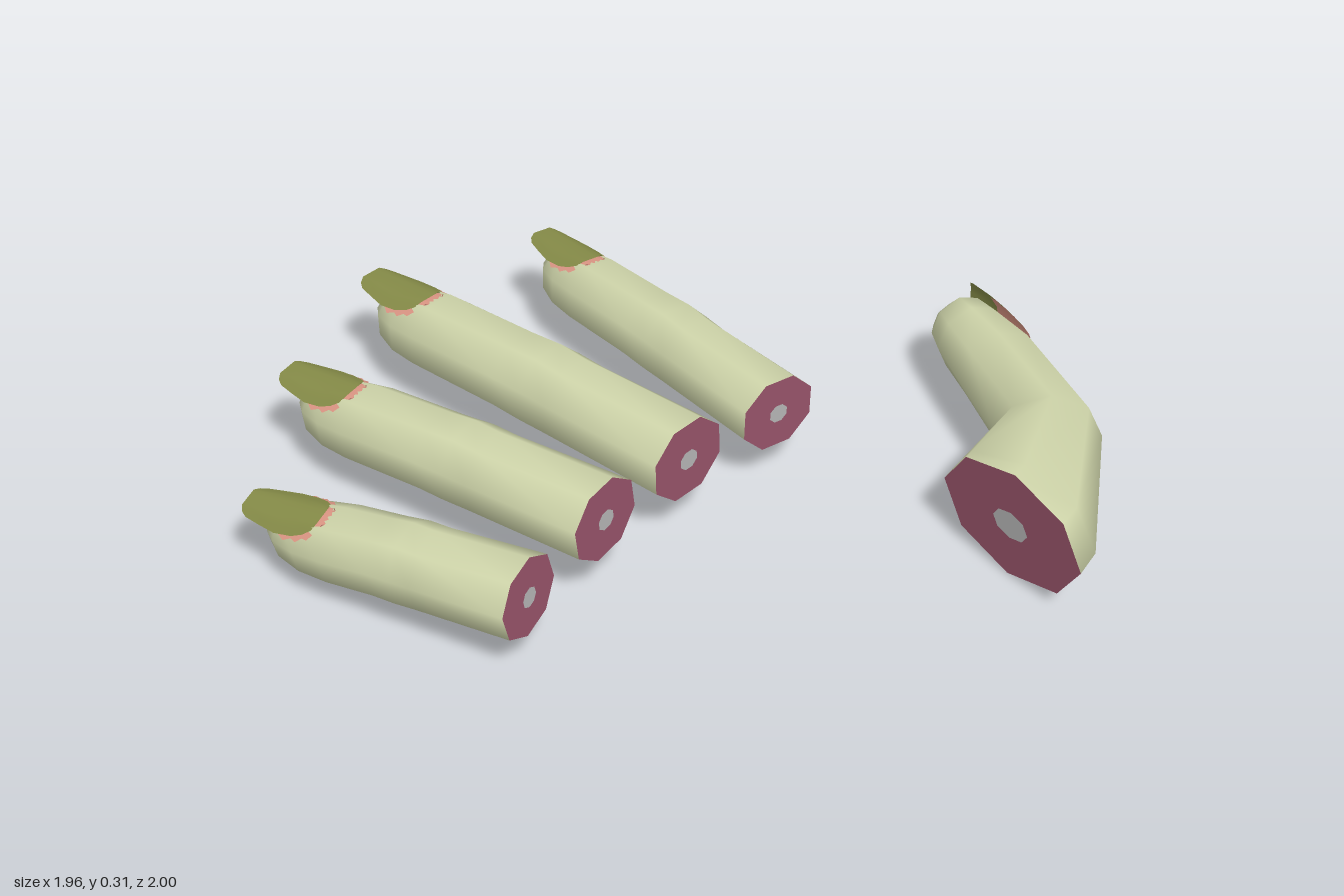
import * as THREE from 'three';

const SIDES = 8;
const V = (x, y, z) => new THREE.Vector3(x, y, z);

const mat = (name, color, side = THREE.FrontSide) => {
  const m = new THREE.MeshStandardMaterial({ color, side });
  m.name = name;
  return m;
};

function mesh(name, geometry, material) {
  const m = new THREE.Mesh(geometry, material);
  m.name = name;
  return m;
}

function geo(points, index) {
  const g = new THREE.BufferGeometry().setFromPoints(points);
  g.setIndex(index);
  g.computeVertexNormals();
  return g;
}

// Eight-sided cross-section from a centre and two half axes
function ring(center, side, up, phase, k = 1) {
  const r = phase ? k / Math.cos(Math.PI / SIDES) : k;
  return Array.from({ length: SIDES }, (_, j) => {
    const a = (j / SIDES) * Math.PI * 2 + phase;
    return center.clone()
      .addScaledVector(side, Math.cos(a) * r)
      .addScaledVector(up, Math.sin(a) * r);
  });
}

// Smooth skin through the rings, closed at the tip
function loft(rings, tip) {
  const index = [];
  const last = (rings.length - 1) * SIDES;
  for (let i = 0; i < rings.length - 1; i++) {
    for (let j = 0; j < SIDES; j++) {
      const a = i * SIDES + j, b = i * SIDES + ((j + 1) % SIDES);
      index.push(a, a + SIDES, b, b, a + SIDES, b + SIDES);
    }
  }
  for (let j = 0; j < SIDES; j++) {
    index.push(last + SIDES, last + ((j + 1) % SIDES), last + j);
  }
  return geo([...rings.flat(), tip], index);
}

// Flat polygon over one ring
function disc(points, center) {
  const index = [];
  for (let j = 0; j < SIDES; j++) index.push(SIDES, j, (j + 1) % SIDES);
  return geo([...points, center], index);
}

// Thin plate bent over the fingertip; rows are [distance, half width]
function plate(rows, lift, ragged) {
  const cols = 8, pts = [], index = [];
  rows.forEach(([s, hw], i) => {
    const w = hw + (i % 2 ? ragged : -ragged);
    for (let c = 0; c <= cols; c++) {
      const x = (c / cols * 2 - 1) * w;
      const y = lift - 0.08 * s - Math.max(0, Math.abs(x) - 0.03) * 0.65;
      const jag = i === 0 ? (c % 2 ? ragged : -ragged) : 0;
      pts.push(V(x, y, -s + jag));
      if (i && c) {
        const d = i * (cols + 1) + c, b = d - cols - 1;
        index.push(b - 1, b, d, b - 1, d, d - 1);
      }
    }
  });
  return geo(pts, index);
}

const NAIL = [[0, 0.03], [0.01, 0.048], [0.03, 0.061], [0.06, 0.07], [0.11, 0.072],
  [0.16, 0.062], [0.2, 0.053], [0.215, 0.043], [0.222, 0.028]];
const CUTICLE = [[-0.016, 0.034], [-0.008, 0.05], [0.004, 0.06], [0.016, 0.066], [0.03, 0.072],
  [0.045, 0.075], [0.06, 0.077], [0.08, 0.077], [0.1, 0.073], [0.11, 0.066]];

// Finger sections: [fraction of shaft, distance before tip, half width, top, bottom]
const SHAFT = [[0, 0.113, 0.098, -0.1], [0.36, 0.108, 0.097, -0.1], [0.44, 0.109, 0.104, -0.102],
  [0.53, 0.105, 0.098, -0.1]];
const TIP = [[0.2, 0.104, 0.086, -0.103], [0.115, 0.095, 0.073, -0.1],
  [0.045, 0.072, 0.056, -0.085], [0.008, 0.04, 0.03, -0.05]];

export function createModel() {
  const skin = mat('pale green skin', 0xd0d6ab);
  const flesh = mat('cut flesh', 0x965369);
  const bone = mat('bone grey', 0xb4b4b4);
  const nail = mat('olive nail', 0x868c48, THREE.DoubleSide);
  const sore = mat('sore pink', 0xdc9684, THREE.DoubleSide);

  const model = new THREE.Group();
  model.name = 'severedFingers';

  const makeNail = () => {
    const g = new THREE.Group();
    g.name = 'nail';
    g.add(mesh('nailPlate', plate(NAIL, 0.004, 0), nail));
    g.add(mesh('cuticle', plate(CUTICLE, 0.001, 0.004), sore));
    return g;
  };

  // Straight finger pointing along its own -z
  function finger(name, base, tip, k, roll) {
    const g = new THREE.Group();
    g.name = name;
    const len = base.distanceTo(tip);
    const rows = [...SHAFT.map(([f, ...r]) => [f * len, ...r]),
      ...TIP.map(([d, ...r]) => [len - d, ...r])];
    const section = ([d, w, top, bot], s = 1, out = 0) =>
      ring(V(0, (top + bot) / 2, out - d), V(w, 0, 0), V(0, (top - bot) / 2, 0), Math.PI / SIDES, s);
    g.add(mesh('fingerSkin', loft(rows.map(r => section(r)), V(0, -0.01, -len)), skin));
    g.add(mesh('cutFace', disc(section(rows[0]), V(0, 0, 0)), flesh));
    g.add(mesh('boneEnd', disc(section(rows[0], 0.25, 0.003), V(0, 0, 0.003)), bone));
    const n = makeNail();
    n.position.set(0, 0.084, -(len - 0.17));
    g.add(n);
    g.position.copy(base);
    g.up.set(-Math.sin(roll), Math.cos(roll), 0);
    g.lookAt(base.clone().multiplyScalar(2).sub(tip));
    g.scale.set(k, k, 1);
    model.add(g);
  }

  finger('littleFinger', V(-0.725, 0.18, 0.185), V(-0.908, 0.135, -0.5), 0.9, 0.25);
  finger('ringFinger', V(-0.425, 0.205, 0.125), V(-0.56, 0.185, -0.79), 0.96, 0.12);
  finger('middleFinger', V(-0.12, 0.205, 0.095), V(-0.163, 0.205, -0.95), 1, 0.02);
  finger('indexFinger', V(0.188, 0.19, 0.102), V(0.3, 0.188, -0.815), 0.93, -0.05);

  // Bent thumb: [inner x, inner z, outer x, outer z, bottom, top]
  const thumb = new THREE.Group();
  thumb.name = 'thumb';
  const sections = [
    [0.315, 0.53, 0.245, 0.995, 0, 0.285],
    [0.34, 0.524, 0.33, 0.972, 0.005, 0.28],
    [0.535, 0.505, 0.71, 0.7, 0.035, 0.265],
    [0.665, 0.27, 0.885, 0.36, 0.055, 0.245],
    [0.73, 0.16, 0.922, 0.21, 0.06, 0.24],
    [0.77, 0.105, 0.938, 0.14, 0.075, 0.23],
    [0.805, 0.082, 0.9, 0.098, 0.11, 0.195],
  ];
  const thumbRing = ([ix, iz, ox, oz, bot, top], k = 1, dx = 0) => ring(
    V((ix + ox) / 2 + dx, (bot + top) / 2, (iz + oz) / 2),
    V((ox - ix) / 2, 0, (oz - iz) / 2), V(0, (top - bot) / 2, 0), 0, k);
  thumb.add(mesh('thumbSkin', loft(sections.map(s => thumbRing(s)), V(0.855, 0.152, 0.08)), skin));
  thumb.add(mesh('cutFace', disc(thumbRing(sections[0]), V(0.28, 0.1425, 0.7625)), flesh));
  thumb.add(mesh('boneEnd', disc(thumbRing(sections[0], 0.25, -0.004), V(0.276, 0.1425, 0.7625)), bone));
  const n = makeNail();
  n.position.set(0.908, 0.15, 0.3);
  n.up.set(0.94, 0, 0.33);
  n.lookAt(0.908 - 0.088, 0.15, 0.3 + 0.235);
  n.scale.set(1.05, 1, 1.14);
  thumb.add(n);
  model.add(thumb);

  return model;
}
